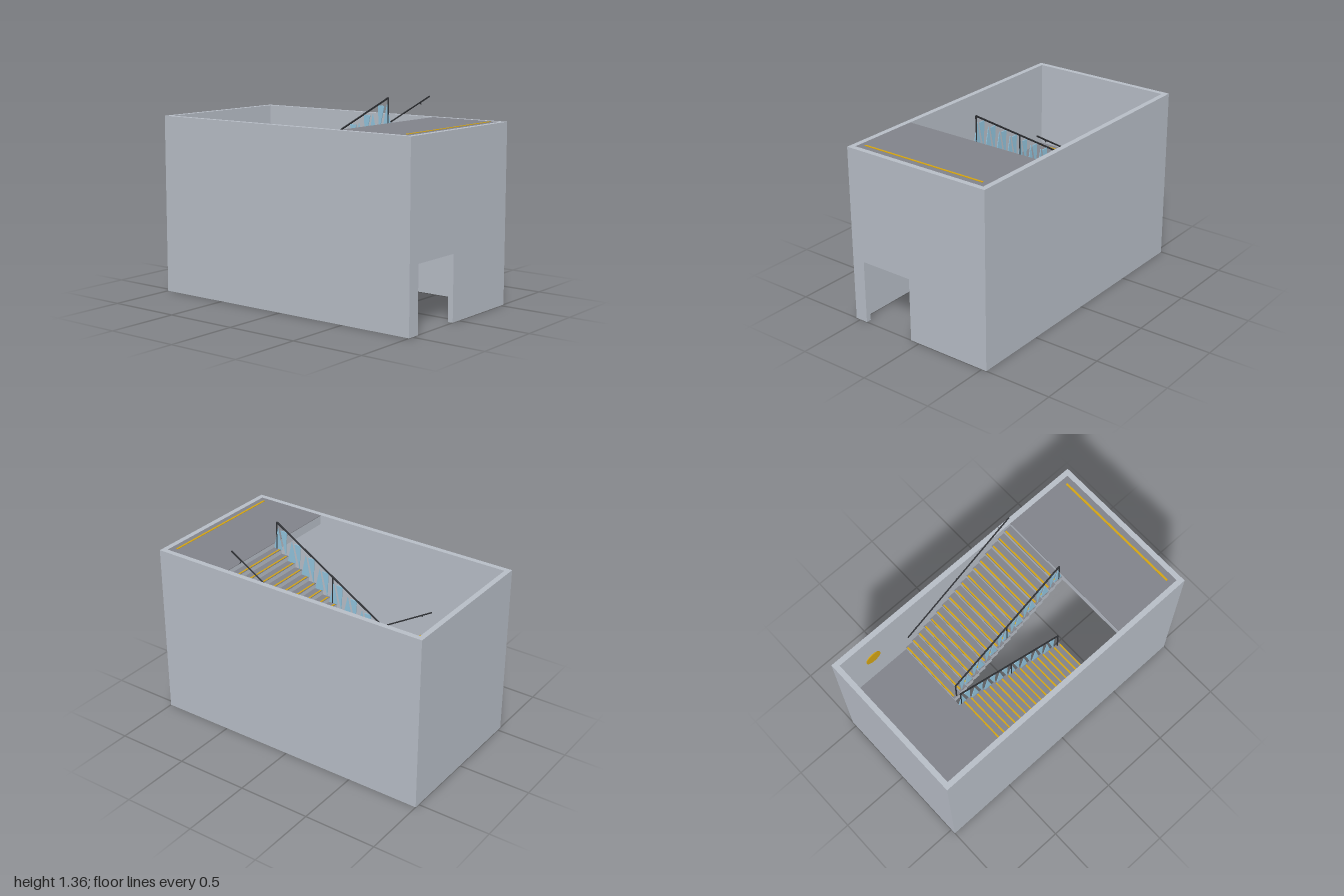
import * as THREE from 'three';

const H = 1.196, HALF = 0.535, WALL = 0.036;
const STEPS = 18, RISE = H / 36, RUN = 0.94 / 17;
const FRONT = 0.46, BACK = -0.48, GAP = 0.015;

export function createModel() {
  const mat = (name, color) => {
    const m = new THREE.MeshStandardMaterial({ color });
    m.name = name;
    return m;
  };
  const concrete = mat('concrete', 0xb6bcc5);
  const floor = mat('floor covering', 0x808289);
  const yellow = mat('safety yellow', 0xd2a314);
  const metal = mat('dark metal', 0x303236);
  const glass = mat('blue glass', 0x8fc1da);

  const root = new THREE.Group();
  root.name = 'stairwell';

  // Box given by its minimum and maximum corners
  const box = (parent, name, m, x0, x1, y0, y1, z0, z1) => {
    const mesh = new THREE.Mesh(new THREE.BoxGeometry(x1 - x0, y1 - y0, z1 - z0), m);
    mesh.position.set((x0 + x1) / 2, (y0 + y1) / 2, (z0 + z1) / 2);
    mesh.name = name;
    parent.add(mesh);
    return mesh;
  };
  // Round bar between two points
  const bar = (parent, name, a, b, r) => {
    const d = b.clone().sub(a);
    const mesh = new THREE.Mesh(new THREE.CylinderGeometry(r, r, d.length(), 8), metal);
    mesh.position.copy(a).add(b).multiplyScalar(0.5);
    mesh.quaternion.setFromUnitVectors(new THREE.Vector3(0, 1, 0), d.normalize());
    mesh.name = name;
    parent.add(mesh);
  };
  const v = (x, y, z) => new THREE.Vector3(x, y, z);
  const IN = HALF - WALL;

  // Outer walls, with a doorway notch in the front one
  box(root, 'rightSideWall', concrete, -HALF, -IN, 0, H, -1, 1);
  box(root, 'leftSideWall', concrete, IN, HALF, 0, H, -1, 1);
  box(root, 'backWall', concrete, -IN, IN, 0, H, -1, -1 + WALL);
  const front = new THREE.Shape([
    [-IN, 0], [-0.445, 0], [-0.445, 0.433], [-0.067, 0.433],
    [-0.067, 0], [IN, 0], [IN, H], [-IN, H],
  ].map(([x, y]) => new THREE.Vector2(x, y)));
  const frontWall = new THREE.Mesh(
    new THREE.ExtrudeGeometry(front, { depth: WALL, bevelEnabled: false }), concrete);
  frontWall.position.z = 1 - WALL;
  frontWall.name = 'frontWall';
  root.add(frontWall);

  // Landings: a solid block halfway up, a slab at the top
  const T = 0.004, mid = H / 2, zIn = 1 - WALL;
  box(root, 'middleLanding', concrete, -IN, IN, 0, mid - T, -zIn, BACK);
  box(root, 'middleLandingFloor', floor, -IN, IN, mid - T, mid, -zIn, BACK);
  box(root, 'topLanding', concrete, -IN, IN, H - 0.066, H - T, FRONT, zIn);
  box(root, 'topLandingFloor', floor, -IN, IN, H - T, H, FRONT, zIn);
  box(root, 'middleLandingStrip', yellow, -0.46, 0.46, mid, mid + 0.003, -0.926, -0.912);
  box(root, 'topLandingStrip', yellow, -0.46, 0.46, H, H + 0.003, 0.912, 0.926);

  // Round wall signs beside the lower and middle landings
  [[-1, 0.73, 0.31], [1, -0.73, mid + 0.31]].forEach(([side, z, y]) => {
    const sign = new THREE.Mesh(new THREE.CylinderGeometry(0.057, 0.057, 0.006, 32), yellow);
    sign.rotation.z = Math.PI / 2;
    sign.position.set(side * (IN - 0.003), y, z);
    sign.name = 'wallSign';
    root.add(sign);
  });

  // One flight climbing towards -z on the -x side; s runs along the climb
  const makeFlight = (name, solid) => {
    const g = new THREE.Group();
    g.name = name;
    const zs = (s) => 0.47 - s;
    const slope = (s) => RISE * (1 + s / RUN);

    for (let i = 0; i < STEPS - 1; i++) {
      const top = RISE * (i + 1), z1 = zs(i * RUN), z0 = zs((i + 1) * RUN);
      box(g, 'step', concrete, -IN, -GAP, solid ? 0 : top - 0.066, top - T, z0, z1);
      box(g, 'tread', floor, -IN, -GAP, top - T, top, z0, z1);
      box(g, 'nosingStrip', yellow, -0.49, -0.03, top, top + 0.002, z1 - 0.013, z1 - 0.002);
    }

    // Handrails on the open side and on the wall
    const s0 = 0.025, s1 = 0.915, xi = -0.022, xw = -0.486;
    bar(g, 'innerHandrail', v(xi, slope(s0) + 0.172, zs(s0)), v(xi, slope(s1) + 0.172, zs(s1)), 0.006);
    bar(g, 'wallHandrail', v(xw, slope(s0) + 0.152, zs(s0)), v(xw, slope(s1) + 0.152, zs(s1)), 0.005);
    [s0, (s0 + s1) / 2, s1].forEach((s) => {
      const foot = RISE * (Math.floor(s / RUN) + 1);
      bar(g, 'railPost', v(xi, foot, zs(s)), v(xi, slope(s) + 0.172, zs(s)), 0.005);
    });
    [0.1, 0.47, 0.84].forEach((s) => {
      const y = slope(s) + 0.148;
      bar(g, 'wallBracket', v(-IN, y - 0.01, zs(s)), v(xw, y, zs(s)), 0.003);
    });

    // Alternating upright and inverted triangular glass panels
    const panel = (pts) => {
      const shape = new THREE.Shape(pts.map(([s, y]) => new THREE.Vector2(s, y)));
      const mesh = new THREE.Mesh(
        new THREE.ExtrudeGeometry(shape, { depth: 0.005, bevelEnabled: false }), glass);
      mesh.rotation.y = Math.PI / 2;
      mesh.position.set(xi - 0.0025, 0, 0.47);
      mesh.name = 'glassPanel';
      g.add(mesh);
    };
    for (let k = 0; k < 8; k++) {
      const s = 0.905 - k * 2 * RUN, y = slope(s);
      panel([[s - 0.03, y - 0.012], [s + 0.034, y - 0.012], [s, y + 0.136]]);
      panel([[s - 0.07, y + 0.125], [s - 0.06, y - 0.045], [s - 0.02, y + 0.125]]);
    }
    g.position.z = -0.01;
    root.add(g);
    return g;
  };

  makeFlight('lowerFlight', true);
  const upper = makeFlight('upperFlight', false);
  upper.rotation.y = Math.PI;
  upper.position.y = mid;

  return root;
}
